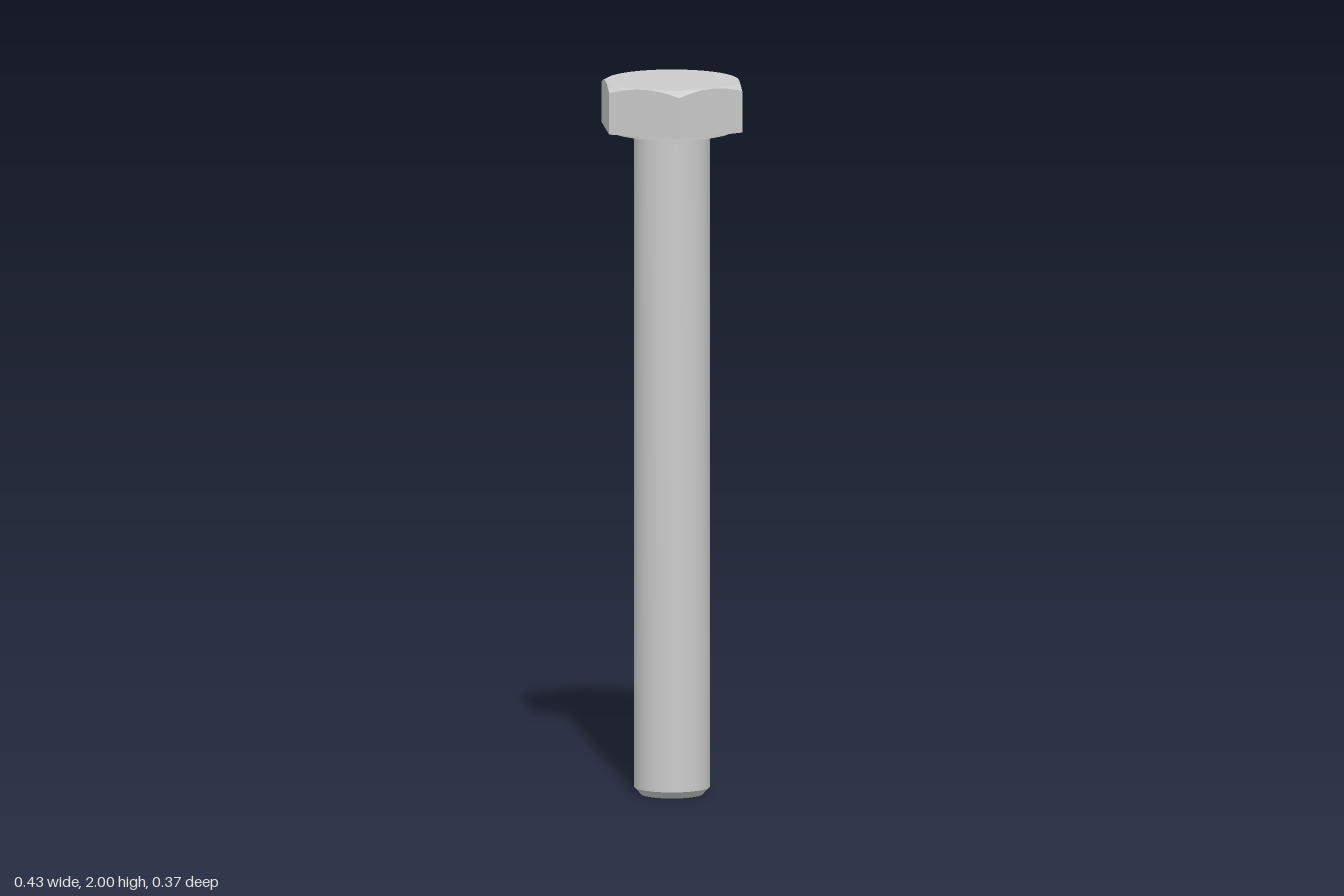
import * as THREE from 'three';
import { toCreasedNormals } from 'three/addons/utils/BufferGeometryUtils.js';

const APOTHEM = 0.185;
const HEAD_BOTTOM = 1.867;
const WASHER_BOTTOM = 1.857;
const TOP = 2;

function createModel() {
  const group = new THREE.Group();
  group.name = 'hexBolt';
  const material = new THREE.MeshStandardMaterial({ color: 0xcccccc });

  const add = (name, geometry) => {
    const mesh = new THREE.Mesh(toCreasedNormals(geometry, 0.35), material);
    mesh.name = name;
    group.add(mesh);
  };
  const turned = (points, segments) =>
    new THREE.LatheGeometry(points.map(([r, y]) => new THREE.Vector2(r, y)), segments);

  // Shank with a chamfered tip
  add('shank', turned([[0, 0], [0.086, 0], [0.105, 0.02], [0.105, WASHER_BOTTOM]], 36));

  // Thin round washer face under the head
  add('washerFace', turned([[0.1, WASHER_BOTTOM], [0.167, WASHER_BOTTOM], [0.167, HEAD_BOTTOM]], 48));

  // Hex head: a turned blank whose outer rings are pushed out to the hexagon,
  // with the upper edge following a 30 degree conical chamfer
  const head = turned(
    [[0, HEAD_BOTTOM], [APOTHEM, HEAD_BOTTOM], [APOTHEM, TOP - 0.001], [APOTHEM - 0.001, TOP], [0, TOP]], 48);
  const pos = head.attributes.position;
  const sector = Math.PI / 3;
  for (let i = 0; i < pos.count; i++) {
    const ring = i % 5;
    if (ring !== 1 && ring !== 2) continue;
    // Flats face +z and -z, corners lie on the x axis
    const angle = Math.atan2(pos.getX(i), pos.getZ(i));
    const offset = angle - Math.round(angle / sector) * sector;
    const radius = APOTHEM / Math.cos(offset);
    pos.setX(i, radius * Math.sin(angle));
    pos.setZ(i, radius * Math.cos(angle));
    if (ring === 2) pos.setY(i, TOP - 0.0006 - (radius - APOTHEM) * Math.tan(Math.PI / 6));
  }
  add('hexHead', head);

  return group;
}

export { createModel };
